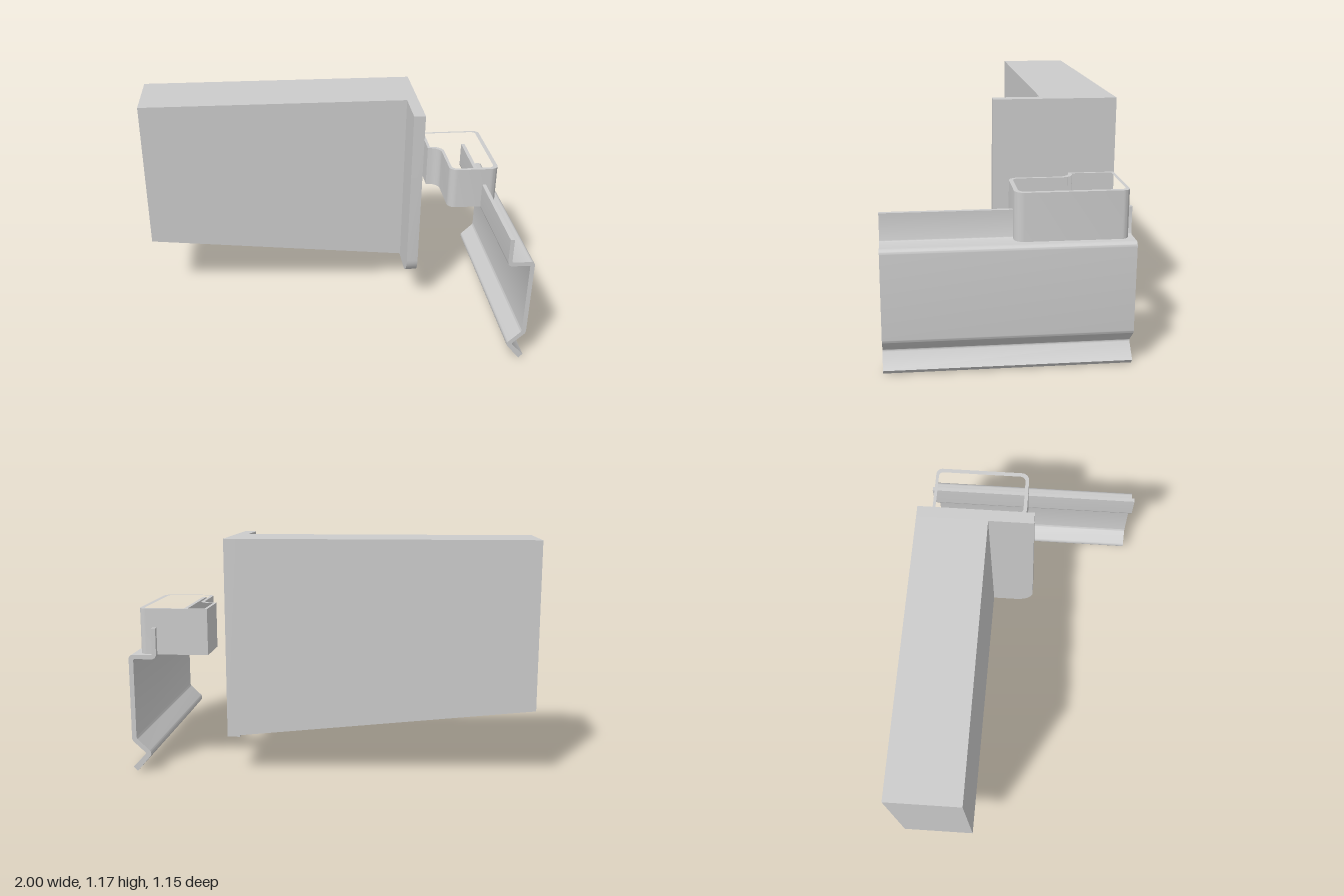
import * as THREE from 'three';
import { toCreasedNormals } from 'three/addons/utils/BufferGeometryUtils.js';

const material = new THREE.MeshStandardMaterial({ color: 0xcccccc });

// Draws a closed outline from [x, y, cornerCut] points, rounding each corner that has a cut length.
function outline(points, path = new THREE.Shape()) {
  const n = points.length;
  points.forEach(([x, y, r = 0], i) => {
    const toward = ([px, py], d) => {
      const k = d / Math.hypot(px - x, py - y);
      return [x + (px - x) * k, y + (py - y) * k];
    };
    const prev = points[(i + n - 1) % n], next = points[(i + 1) % n];
    const start = toward(prev, r);
    if (i === 0) path.moveTo(...start); else path.lineTo(...start);
    if (r > 0) {
      // handles at 0.55 of the cut approximate a circular fillet
      path.bezierCurveTo(...toward(prev, r * 0.45), ...toward(next, r * 0.45), ...toward(next, r));
    }
  });
  path.closePath();
  return path;
}

function extrude(shape, depth) {
  return new THREE.ExtrudeGeometry(shape, { depth, bevelEnabled: false, curveSegments: 8 });
}

function part(name, geometry) {
  const mesh = new THREE.Mesh(toCreasedNormals(geometry, 0.6), material);
  mesh.name = name;
  return mesh;
}

export function createModel() {
  const group = new THREE.Group();
  group.name = 'bracketAssembly';

  // Solid block with a sloping underside
  const block = extrude(outline([[-1, 0.35], [0.452, 0.2], [0.452, 1.175], [-1, 1.175]]), 0.367);
  block.translate(0, 0, -0.577);

  // End plate projecting forward, with a rounded lower front corner
  const plate = extrude(outline([[-0.577, 0.192], [0.024, 0.192, 0.1], [0.024, 1.175], [-0.577, 1.175]]), 0.062);
  plate.rotateY(-Math.PI / 2).translate(0.513, 0, 0);

  // Bent sheet rail: upright lip, shelf, drop and V-shaped foot
  const rail = extrude(outline([
    [0.861, 0.735], [0.861, 0.58, 0.025], [0.977, 0.58, 0.008], [0.977, 0.174, 0.01],
    [0.896, 0.096, 0.022], [0.977, 0.002], [0.997, 0.024], [0.929, 0.096, 0.008],
    [1, 0.163, 0.012], [1, 0.602, 0.022], [0.882, 0.602, 0.006], [0.882, 0.735],
  ]), 1.152);
  rail.translate(0, 0, -0.577);

  // Open tube with a stepped side, drawn in plan (y is -z)
  const tubeShape = outline([
    [0.606, 0.552], [0.948, 0.552, 0.035], [0.948, 0.028, 0.045],
    [0.677, 0.028, 0.045], [0.677, 0.318, 0.05], [0.606, 0.328],
  ]);
  tubeShape.holes.push(outline([
    [0.621, 0.536], [0.925, 0.536, 0.025], [0.925, 0.048, 0.03],
    [0.693, 0.048, 0.03], [0.693, 0.338, 0.055], [0.621, 0.343],
  ], new THREE.Path()));
  const tube = extrude(tubeShape, 0.23);
  tube.rotateX(-Math.PI / 2).translate(0, 0.6, 0);

  group.add(part('block', block), part('endPlate', plate), part('clipRail', rail), part('tube', tube));
  return group;
}
